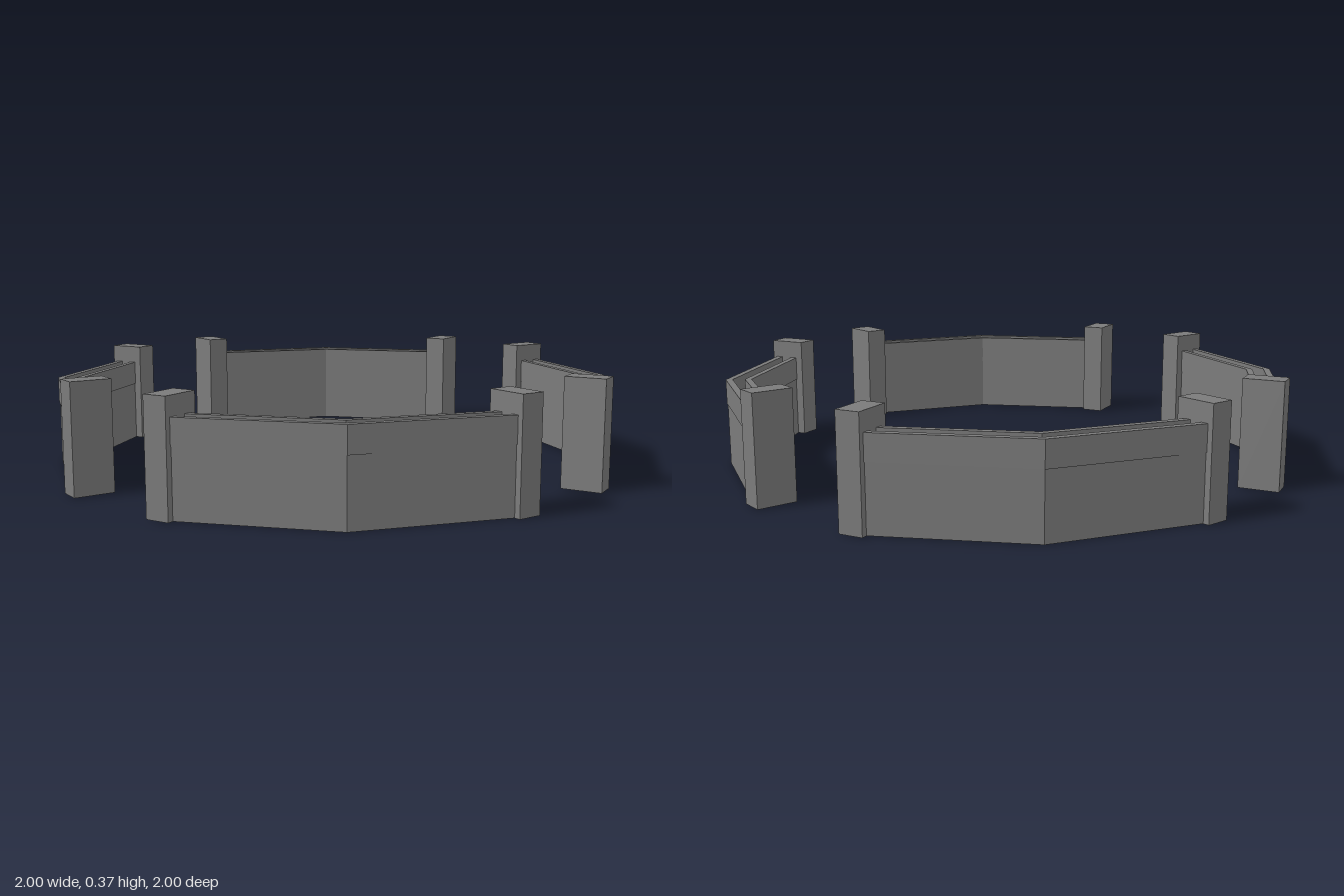
import * as THREE from 'three';

const WALL_HALF_ANGLE = Math.PI / 6;
const POST = { width: 0.081, height: 0.37, depth: 0.137, radius: 0.949, angle: THREE.MathUtils.degToRad(32.3) };

// Wall cross-section as [radius, height]: body, slightly wider upper band, channel along the top
const PROFILE = [
  [0.913, 0], [0.997, 0], [0.997, 0.22], [1, 0.22], [1, 0.307], [0.976, 0.307], [0.976, 0.22],
  [0.933, 0.22], [0.933, 0.307], [0.91, 0.307], [0.91, 0.22], [0.913, 0.22], [0.913, 0],
];

export function createModel() {
  const model = new THREE.Group();
  model.name = 'ringWall';
  const material = new THREE.MeshStandardMaterial({ color: 0x7b7b7b, flatShading: true });

  // Two straight panels meeting at a shallow corner
  const wallGeometry = new THREE.LatheGeometry(
    PROFILE.map(([r, y]) => new THREE.Vector2(r, y)), 2, -WALL_HALF_ANGLE, 2 * WALL_HALF_ANGLE);
  const postGeometry = new THREE.BoxGeometry(POST.width, POST.height, POST.depth);

  for (let i = 0; i < 4; i++) {
    const section = new THREE.Group();
    section.name = 'wallSection' + (i + 1);
    section.rotation.y = i * Math.PI / 2;

    const wall = new THREE.Mesh(wallGeometry, material);
    wall.name = 'groovedWall';
    section.add(wall);

    // Posts capping both ends of the wall
    for (const side of [-1, 1]) {
      const angle = side * POST.angle;
      const post = new THREE.Mesh(postGeometry, material);
      post.name = side > 0 ? 'leftEndPost' : 'rightEndPost';
      post.position.set(POST.radius * Math.sin(angle), POST.height / 2, POST.radius * Math.cos(angle));
      post.rotation.y = angle;
      section.add(post);
    }
    model.add(section);
  }
  return model;
}
